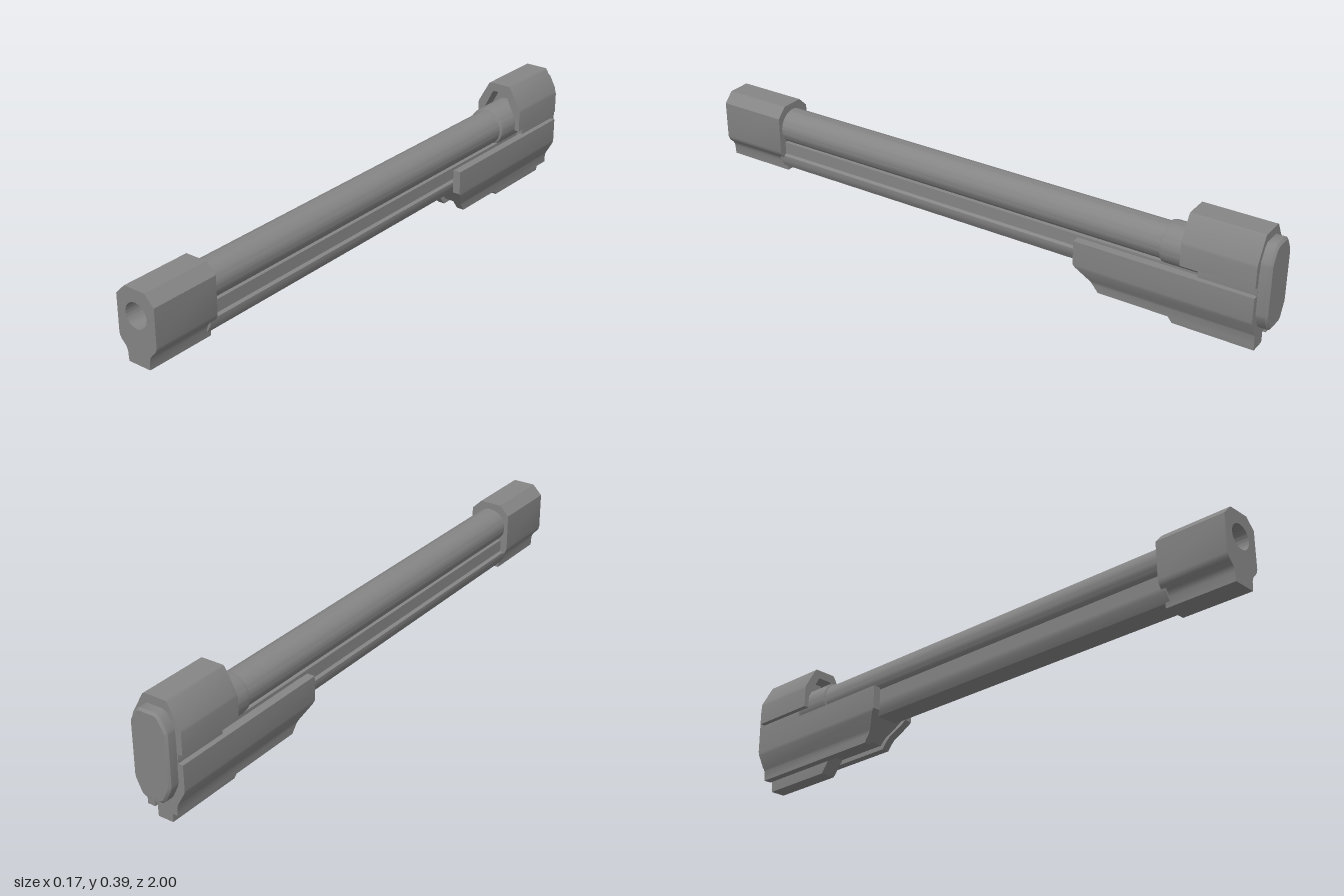
import * as THREE from 'three';
import { toCreasedNormals } from 'three/addons/utils/BufferGeometryUtils.js';

const material = new THREE.MeshStandardMaterial({ color: 0x858585 });
const AXIS_Y = 0.259; // height of the barrel axis

function addMesh(group, name, geometry) {
  const mesh = new THREE.Mesh(toCreasedNormals(geometry, 0.6), material);
  mesh.name = name;
  group.add(mesh);
}

// Full outline from the +x half, listed top to bottom as [x, y]
const mirrored = (half) => new THREE.Shape(
  [...half, ...half.slice().reverse().map(([x, y]) => [-x, y])]
    .map(([x, y]) => new THREE.Vector2(x, y)));

// Extrude a shape between two z positions
function extrude(shape, back, front) {
  const geometry = new THREE.ExtrudeGeometry(shape, {
    depth: front - back, bevelEnabled: false, curveSegments: 24,
  });
  return geometry.translate(0, 0, back);
}

// Solid from level rectangles [y, xMin, xMax], bottom to top;
// the front end slants backwards below bendY
function stack(rows, back, front, bendY) {
  const positions = [];
  const index = [];
  rows.forEach(([y, x0, x1], row) => {
    const z = front - Math.max(0, bendY - y) * 0.78;
    positions.push(x0, y, z, x1, y, z, x1, y, back, x0, y, back);
    if (row === 0) return;
    const a = (row - 1) * 4;
    for (let i = 0; i < 4; i++) {
      const j = (i + 1) % 4;
      index.push(a + i, a + j, a + 4 + j, a + i, a + 4 + j, a + 4 + i);
    }
  });
  const top = (rows.length - 1) * 4;
  index.push(0, 2, 1, 0, 3, 2, top, top + 1, top + 2, top, top + 2, top + 3);
  const geometry = new THREE.BufferGeometry();
  geometry.setAttribute('position', new THREE.Float32BufferAttribute(positions, 3));
  geometry.setIndex(index);
  return geometry;
}

// Turned part along the barrel axis, from [radius, z] points, back to front
function turned(points) {
  const geometry = new THREE.LatheGeometry(points.map(([r, z]) => new THREE.Vector2(r, z)), 48);
  return geometry.rotateX(Math.PI / 2).translate(0, AXIS_Y, 0);
}

export function createModel() {
  const model = new THREE.Group();
  model.name = 'barrelAssembly';

  // Muzzle block with a round bore
  const muzzle = mirrored([
    [0.038, 0.339], [0.071, 0.306], [0.071, 0.184], [0.068, 0.174], [0.063, 0.166],
    [0.05, 0.153], [0.045, 0.145], [0.042, 0.135], [0.04, 0.105],
  ]);
  const bore = new THREE.Path();
  bore.absarc(0, AXIS_Y, 0.04, 0, Math.PI * 2, false);
  muzzle.holes.push(bore);
  addMesh(model, 'muzzleBlock', extrude(muzzle, 0.765, 1));

  // Barrel and rear collar
  addMesh(model, 'barrel', turned([[0, -0.95], [0.058, -0.95], [0.058, 0.88], [0, 0.88]]));
  addMesh(model, 'barrelCollar', turned([
    [0, -0.95], [0.067, -0.95], [0.067, -0.665], [0.065, -0.654], [0.056, -0.65],
  ]));

  // Stepped rail under the barrel
  addMesh(model, 'underRail', extrude(mirrored([
    [0.046, 0.211], [0.046, 0.17], [0.056, 0.165], [0.056, 0.148], [0.04, 0.12],
  ]), -0.95, 0.78));

  // Two side shells of the lower housing
  const shell = [
    [0.037, 0.027, 0.053], [0.062, 0.028, 0.054], [0.068, 0.029, 0.055],
    [0.075, 0.031, 0.058], [0.12, 0.055, 0.083], [0.13, 0.058, 0.085], [0.21, 0.058, 0.085],
  ];
  const mirrorRows = (rows) => rows.map(([y, x0, x1]) => [y, -x1, -x0]);
  addMesh(model, 'leftHousingShell', stack(shell, -0.965, -0.38, 0.13));
  addMesh(model, 'rightHousingShell', stack(mirrorRows(shell), -0.965, -0.38, 0.13));

  // Core filling the channel between the shells
  const core = [[0.052, 0.027], ...shell.slice(1, -1), [0.2, 0.058]];
  addMesh(model, 'housingCore',
    stack(core.map(([y, x]) => [y, -x, x]), -0.963, -0.4, 0.13));

  // Narrow foot below the housing
  addMesh(model, 'foot',
    stack([[0, -0.026, 0.026], [0.01, -0.027, 0.027], [0.053, -0.027, 0.027]],
      -0.955, -0.65, 0.053));

  // Open-fronted upper hood around the collar
  const cavity = [[0.068, 0.28], [0.027, 0.361], [0.022, 0.364]];
  addMesh(model, 'upperHood', extrude(mirrored([
    [0.038, 0.393], [0.043, 0.389], [0.083, 0.317], [0.085, 0.308], [0.085, 0.24],
    [0.068, 0.24], ...cavity,
  ]), -0.965, -0.73));

  // Inner block joining the hood to the housing
  addMesh(model, 'receiverCore', extrude(mirrored([
    ...cavity.slice().reverse(), [0.068, 0.2], [0.058, 0.13],
  ]), -0.964, -0.78));

  // Rear cap with a chamfered edge
  const bevel = 0.007;
  const cap = new THREE.ExtrudeGeometry(mirrored([
    [0.026, 0.359], [0.036, 0.353], [0.056, 0.317], [0.058, 0.307],
    [0.058, 0.15], [0.056, 0.14], [0.036, 0.099], [0.026, 0.092],
  ]), { depth: 0.035, bevelThickness: bevel, bevelSize: bevel, bevelSegments: 1 });
  addMesh(model, 'rearCap', cap.translate(0, 0, -1 + bevel));

  return model;
}
